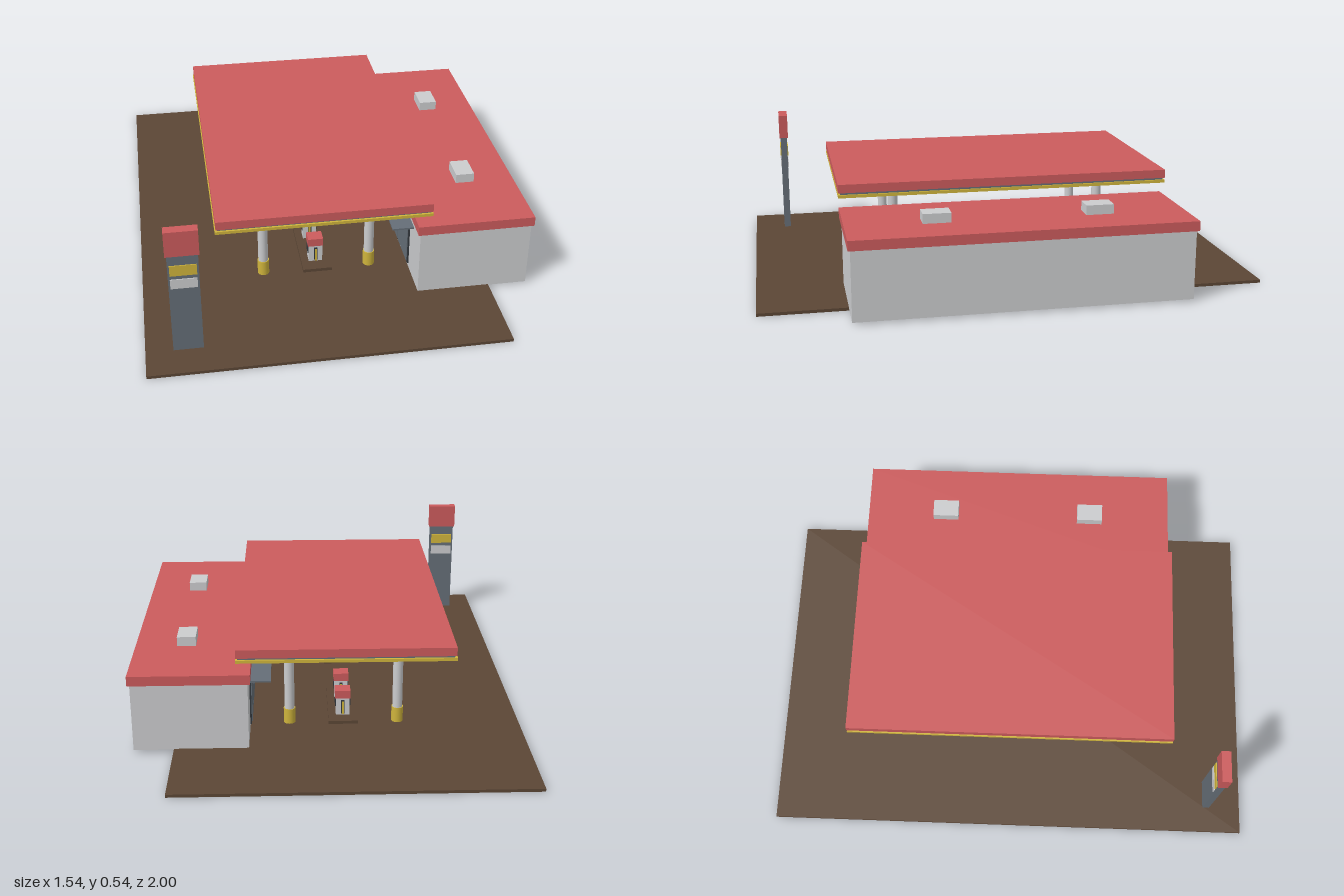
import * as THREE from 'three';

const mat = (name, color) => {
  const m = new THREE.MeshStandardMaterial({ color });
  m.name = name;
  return m;
};

export function createModel() {
  const root = new THREE.Group();
  root.name = 'fuelStation';
  const red = mat('red', 0xcb5b5c);
  const brown = mat('brown', 0x5b4635);
  const grey = mat('lightGrey', 0xcbccce);
  const yellow = mat('yellow', 0xcfb43c);
  const slate = mat('slate', 0x656e77);
  const dark = mat('charcoal', 0x33383d);

  // Box given by its limits on each axis
  const box = (name, m, x0, x1, y0, y1, z0, z1, parent = root) => {
    const mesh = new THREE.Mesh(new THREE.BoxGeometry(x1 - x0, y1 - y0, z1 - z0), m);
    mesh.position.set((x0 + x1) / 2, (y0 + y1) / 2, (z0 + z1) / 2);
    mesh.name = name;
    parent.add(mesh);
    return mesh;
  };
  const cylinder = (name, m, r, x, y0, y1, z) => {
    const mesh = new THREE.Mesh(new THREE.CylinderGeometry(r, r, y1 - y0, 24), m);
    mesh.position.set(x, (y0 + y1) / 2, z);
    mesh.name = name;
    root.add(mesh);
  };

  box('ground', brown, -0.77, 0.602, 0, 0.012, -1, 1);

  // Shop with flat roof and two roof units
  box('shopWalls', grey, 0.312, 0.757, 0.009, 0.285, -0.656, 0.656);
  box('shopRoof', red, 0.302, 0.766, 0.284, 0.323, -0.665, 0.665);
  for (const z of [-0.32, 0.316]) box('roofUnit', grey, 0.525, 0.6, 0.32, 0.361, z - 0.055, z + 0.055);

  // Glazed shop front under a thin awning
  box('shopFrontFrame', dark, 0.306, 0.313, 0.03, 0.226, -0.49, 0.49);
  for (let i = 0; i < 6; i++) {
    const z = -0.482 + i * 0.162;
    box('shopWindow', slate, 0.303, 0.307, 0.038, 0.218, z, z + 0.154);
  }
  box('awning', slate, 0.226, 0.314, 0.239, 0.246, -0.55, 0.55);

  // Canopy layers from top to bottom
  box('canopyRoof', red, -0.478, 0.354, 0.393, 0.427, -0.668, 0.668);
  box('canopyGap', slate, -0.472, 0.348, 0.384, 0.394, -0.66, 0.66);
  box('canopyTrim', yellow, -0.481, 0.355, 0.373, 0.385, -0.668, 0.668);
  box('canopyCeiling', grey, -0.466, 0.342, 0.371, 0.374, -0.655, 0.655);
  for (const x of [-0.22, 0.11])
    for (const z of [-0.14, 0.14]) box('ceilingLight', grey, x - 0.045, x + 0.045, 0.366, 0.372, z - 0.03, z + 0.03);

  // Columns with yellow guards
  for (const x of [-0.28, 0.155])
    for (const z of [-0.435, 0.435]) {
      cylinder('column', grey, 0.02, x, 0.012, 0.372, z);
      cylinder('columnGuard', yellow, 0.0235, x, 0.012, 0.075, z);
    }

  // Fuel pump with screens on the sides and hoses on the ends
  const addPump = (z) => {
    const pump = new THREE.Group();
    pump.name = 'pump';
    pump.position.set(-0.061, 0.025, z);
    box('pumpBody', grey, -0.028, 0.028, 0, 0.076, -0.025, 0.025, pump);
    box('pumpCap', red, -0.031, 0.031, 0.074, 0.108, -0.028, 0.028, pump);
    for (const s of [-1, 1]) {
      const sx = s * 0.029, sz = s * 0.027;
      box('pumpScreen', dark, sx - 0.002, sx + 0.002, 0.035, 0.065, -0.016, 0.016, pump);
      box('hoseHolder', dark, -0.007, 0.007, 0.008, 0.066, sz - 0.003, sz + 0.003, pump);
      box('hose', yellow, -0.004, 0.004, 0.005, 0.062, sz + s * 0.003 - 0.002, sz + s * 0.003 + 0.002, pump);
    }
    root.add(pump);
  };
  for (const s of [-1, 1]) {
    const z = s * 0.3;
    box('pumpIsland', brown, -0.12, -0.002, 0.012, 0.025, z - 0.165, z + 0.165);
    addPump(z - 0.083);
    addPump(z + 0.083);
  }

  // Roadside price sign
  box('signPost', slate, -0.666, -0.553, 0.012, 0.44, 0.842, 0.87);
  box('signHead', red, -0.672, -0.548, 0.437, 0.541, 0.837, 0.875);
  for (const z of [0.8405, 0.8715]) {
    box('signYellowPanel', yellow, -0.659, -0.56, 0.352, 0.396, z - 0.002, z + 0.002);
    box('signGreyPanel', grey, -0.659, -0.56, 0.296, 0.336, z - 0.002, z + 0.002);
  }
  return root;
}
